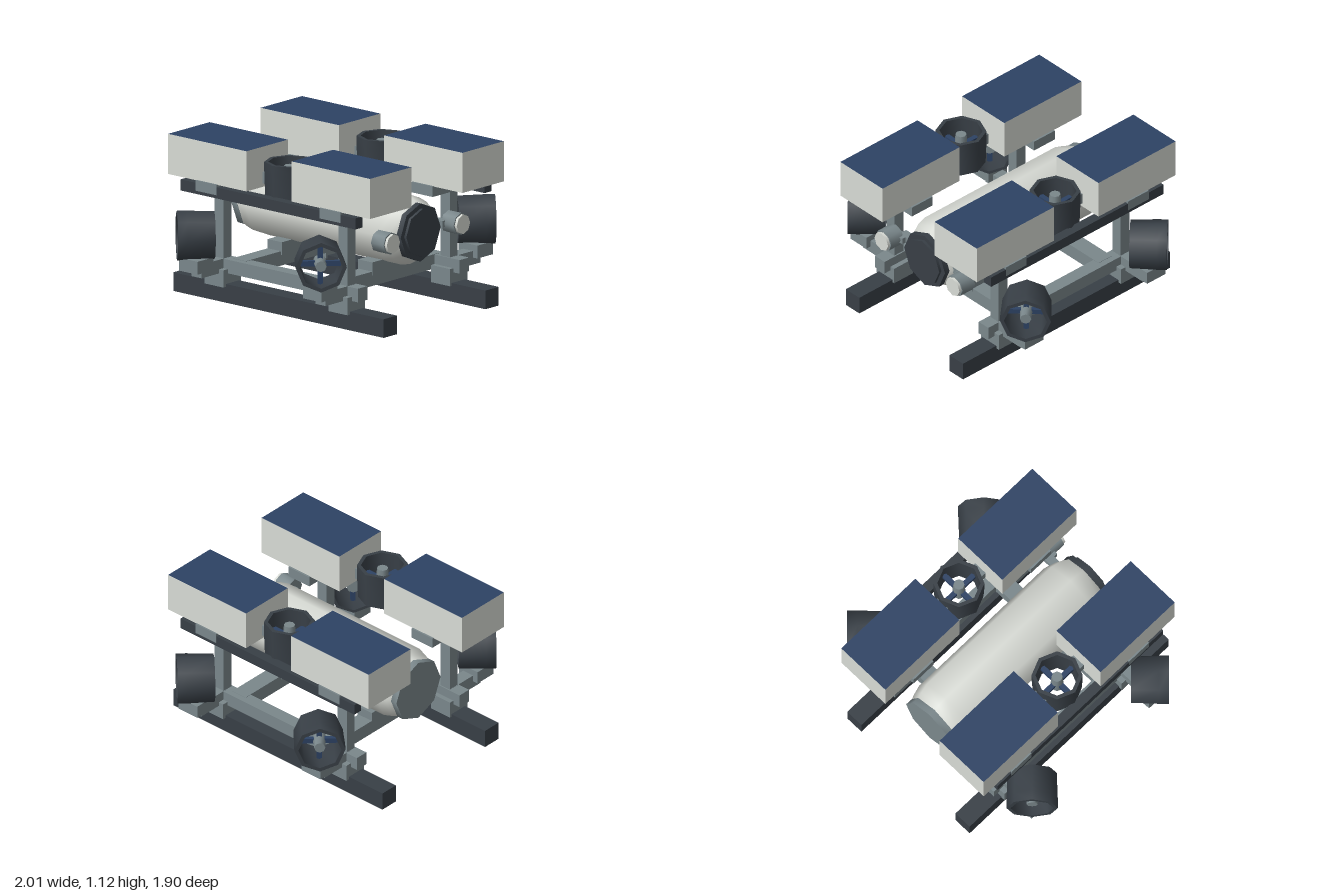
import * as THREE from 'three';
import { toCreasedNormals } from 'three/addons/utils/BufferGeometryUtils.js';

const mat = (name, color) => {
  const m = new THREE.MeshStandardMaterial({ color });
  m.name = name;
  return m;
};

export function createModel() {
  const model = new THREE.Group();
  model.name = 'underwaterVehicle';

  const white = mat('paleGrey', 0xd8dbd5);
  const grey = mat('frameGrey', 0x7a878b);
  const dark = mat('charcoal', 0x383f46);
  const blue = mat('navyBlue', 0x2d4264);

  const add = (name, geo, material, x = 0, y = 0, z = 0, parent = model) => {
    const mesh = new THREE.Mesh(geo, material);
    mesh.name = name;
    mesh.position.set(x, y, z);
    parent.add(mesh);
    return mesh;
  };
  const box = (name, material, w, h, d, x, y, z, parent) =>
    add(name, new THREE.BoxGeometry(w, h, d), material, x, y, z, parent);
  const lathe = (pts) => toCreasedNormals(
    new THREE.LatheGeometry(pts.map(([r, y]) => new THREE.Vector2(r, y)), 8), 0.9);
  // Eight-sided cylinder whose axis runs along z
  const disc = (r, z0, z1) => toCreasedNormals(
    new THREE.CylinderGeometry(r, r, z1 - z0, 8).rotateX(Math.PI / 2).translate(0, 0, (z0 + z1) / 2), 0.9);

  // Pressure hull with end caps
  const hullY = 0.59;
  const hullShape = lathe([[0.215, -0.71], [0.235, -0.66], [0.254, -0.595], [0.254, 0.595], [0.235, 0.67], [0.205, 0.725]]);
  add('hull', hullShape.rotateX(Math.PI / 2), white, 0, hullY, 0);
  add('rearCap', disc(0.222, -0.75, -0.70), grey, 0, hullY, 0);
  add('frontCap', disc(0.203, 0.715, 0.765), dark, 0, hullY, 0);
  add('frontWindow', disc(0.168, 0.76, 0.785), dark, 0, hullY, 0);

  // Ducted thruster, its mouth facing +y
  const ductShape = lathe([[0.145, -0.127], [0.166, -0.127], [0.173, 0.06], [0.173, 0.127], [0.146, 0.127], [0.145, -0.127]]);
  const hubShape = toCreasedNormals(new THREE.CylinderGeometry(0.038, 0.046, 0.16, 8), 0.9);
  function thruster(name, x, y, z) {
    const g = new THREE.Group();
    g.name = name;
    g.position.set(x, y, z);
    add('duct', ductShape, dark, 0, 0, 0, g);
    add('hub', hubShape, grey, 0, 0.02, 0, g);
    box('bladePair', blue, 0.29, 0.03, 0.036, 0, 0, 0, g);
    box('bladePair', blue, 0.036, 0.03, 0.29, 0, 0, 0, g);
    model.add(g);
    return g;
  }

  for (const sx of [-1, 1]) {
    // Long members on each side
    box('skid', dark, 0.135, 0.13, 1.9, sx * 0.516, 0.065, 0);
    box('lowerRail', grey, 0.096, 0.095, 1.4, sx * 0.516, 0.248, 0);
    box('upperRail', dark, 0.07, 0.077, 1.58, sx * 0.655, 0.787, 0);
    thruster('verticalThruster', sx * 0.468, 0.918, 0);

    // Headlamp on its arm
    box('lampArm', grey, 0.14, 0.045, 0.06, sx * 0.25, hullY, 0.67);
    box('lampArm', grey, 0.1, 0.045, 0.06, sx * 0.31, hullY, 0.70);
    add('lampBody', disc(0.077, 0.7, 0.815), grey, sx * 0.355, hullY, 0);
    add('lampLens', disc(0.068, 0.81, 0.835), white, sx * 0.355, hullY, 0);

    for (const sz of [-1, 1]) {
      const z = sz * 0.56;
      // Post assembly from skid to float
      box('skidSaddle', grey, 0.177, 0.12, 0.17, sx * 0.521, 0.17, z);
      box('post', grey, 0.08, 0.5, 0.085, sx * 0.518, 0.54, z);
      box('floatBearer', grey, 0.445, 0.073, 0.19, sx * 0.468, 0.807, z);

      // Buoyancy float with a blue top face
      box('float', [white, white, blue, white, white, white],
        0.42, 0.28, 0.707, sx * 0.469, 0.98, sz * 0.558);
      box('thrusterBracket', grey, 0.1, 0.08, 0.06, sx * 0.468, 0.905, sz * 0.182);

      // Corner thruster on its outrigger
      box('outrigger', grey, 0.285, 0.095, 0.09, sx * 0.6425, 0.249, z);
      box('thrusterMount', grey, 0.16, 0.09, 0.17, sx * 0.79, 0.295, z);
      const t = thruster('cornerThruster', sx * 0.792, 0.495, sz * 0.562);
      t.rotation.set(Math.PI / 2, Math.atan2(sx, sz), 0, 'YXZ');
    }
  }

  // Cross beams and hull cradles
  for (const sz of [-1, 1]) {
    box('crossBeam', grey, 1.04, 0.1, 0.12, 0, 0.248, sz * 0.412);
    box('hullCradle', grey, 0.325, 0.09, 0.13, 0, 0.317, sz * 0.408);
  }

  return model;
}
